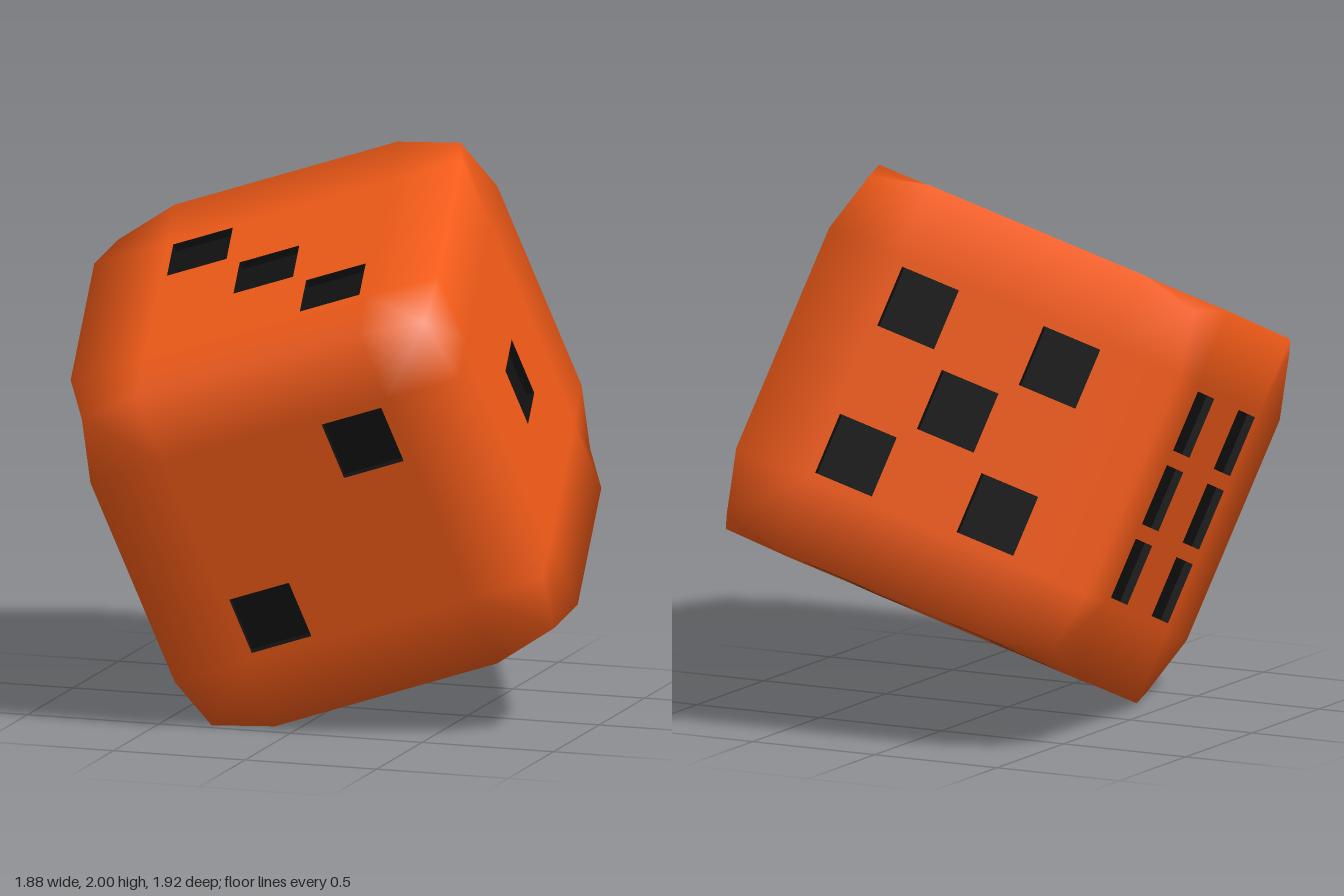
import * as THREE from 'three';

const HALF = 0.71;     // half edge of the cube
const INNER = 0.43;    // flat middle of each face
const CORNER = 0.661;  // blunted corner
const STEP = 0.287;    // pip spacing
const PIP = 0.23;      // pip width
const DEPTH = 0.03;    // pip depth

const orange = new THREE.MeshStandardMaterial({ color: 0xf05a18 });
const black = new THREE.MeshStandardMaterial({ color: 0x111111 });

// Flat square in the middle of a face, with a hole for each pip
function faceCentre(pips) {
  const square = (path, x, y, r) => path.setFromPoints(
    [[-r, -r], [r, -r], [r, r], [-r, r]].map(([a, b]) => new THREE.Vector2(x + a, y + b)));
  const shape = square(new THREE.Shape(), 0, 0, INNER);
  for (const [u, v] of pips) shape.holes.push(square(new THREE.Path(), u * STEP, v * STEP, PIP / 2));
  return new THREE.ShapeGeometry(shape).translate(0, 0, HALF);
}

// Softly shaded border of a face: a 4 x 4 grid without its middle cell
function faceBorder() {
  const lines = [-HALF, -INNER, INNER, HALF];
  const pos = [], nor = [], index = [];
  const n = new THREE.Vector3();
  for (const y of lines) for (const x of lines) {
    const ex = Math.abs(x) === HALF, ey = Math.abs(y) === HALF;
    if (ex && ey) pos.push(Math.sign(x) * CORNER, Math.sign(y) * CORNER, CORNER);
    else pos.push(x, y, HALF);
    n.set(ex ? Math.sign(x) : 0, ey ? Math.sign(y) : 0, 1).normalize();
    nor.push(n.x, n.y, n.z);
  }
  for (let j = 0; j < 3; j++) for (let i = 0; i < 3; i++) {
    if (i === 1 && j === 1) continue;
    const a = j * 4 + i, b = a + 1, c = a + 5, d = a + 4;
    // corner cells fold along the line that runs to the corner
    if (i === j) index.push(a, b, c, a, c, d);
    else index.push(a, b, d, b, c, d);
  }
  const g = new THREE.BufferGeometry();
  g.setAttribute('position', new THREE.Float32BufferAttribute(pos, 3));
  g.setAttribute('normal', new THREE.Float32BufferAttribute(nor, 3));
  g.setIndex(index);
  return g;
}

// Open box turned inside out: a shallow square recess
function pipRecess() {
  const g = new THREE.BoxGeometry(PIP, PIP, DEPTH);
  g.setIndex(Array.from(g.index.array).slice(0, 30));
  g.clearGroups();
  g.scale(1, 1, -1);
  g.computeVertexNormals();
  return g;
}

export function createModel() {
  const model = new THREE.Group();
  model.name = 'die';
  const border = faceBorder(), recess = pipRecess();

  const corners = [[-1, -1], [1, -1], [1, 1], [-1, 1]];
  const q = Math.PI / 2;
  const faces = [
    { name: 'faceOne', rot: [0, q, 0], pips: [[0, 0]] },
    { name: 'faceTwo', rot: [0, 0, 0], pips: [[-1, -1], [1, 1]] },
    { name: 'faceThree', rot: [-q, 0, 0], pips: [[-1, 1], [0, 0], [1, -1]] },
    { name: 'faceFour', rot: [q, 0, 0], pips: corners },
    { name: 'faceFive', rot: [0, 2 * q, 0], pips: [...corners, [0, 0]] },
    { name: 'faceSix', rot: [0, -q, 0], pips: [...corners, [-1, 0], [1, 0]] },
  ];

  const cube = new THREE.Group();
  cube.name = 'tiltedCube';
  for (const { name, rot, pips } of faces) {
    const face = new THREE.Group();
    face.name = name;
    face.rotation.set(...rot);
    const centre = new THREE.Mesh(faceCentre(pips), orange);
    centre.name = 'faceCentre';
    const edge = new THREE.Mesh(border, orange);
    edge.name = 'faceBorder';
    face.add(centre, edge);
    for (const [u, v] of pips) {
      const pip = new THREE.Mesh(recess, black);
      pip.name = 'pip';
      pip.position.set(u * STEP, v * STEP, HALF - DEPTH / 2);
      face.add(pip);
    }
    cube.add(face);
  }

  // Tilt of the tumbling die, from the directions of faces one and two
  const x = new THREE.Vector3(0.67, 0.22, -0.085).normalize();
  const y = new THREE.Vector3(0.15, -0.215, 0.66).cross(x).normalize();
  const z = x.clone().cross(y);
  cube.quaternion.setFromRotationMatrix(new THREE.Matrix4().makeBasis(x, y, z));
  cube.position.y = 1;
  model.add(cube);
  return model;
}
